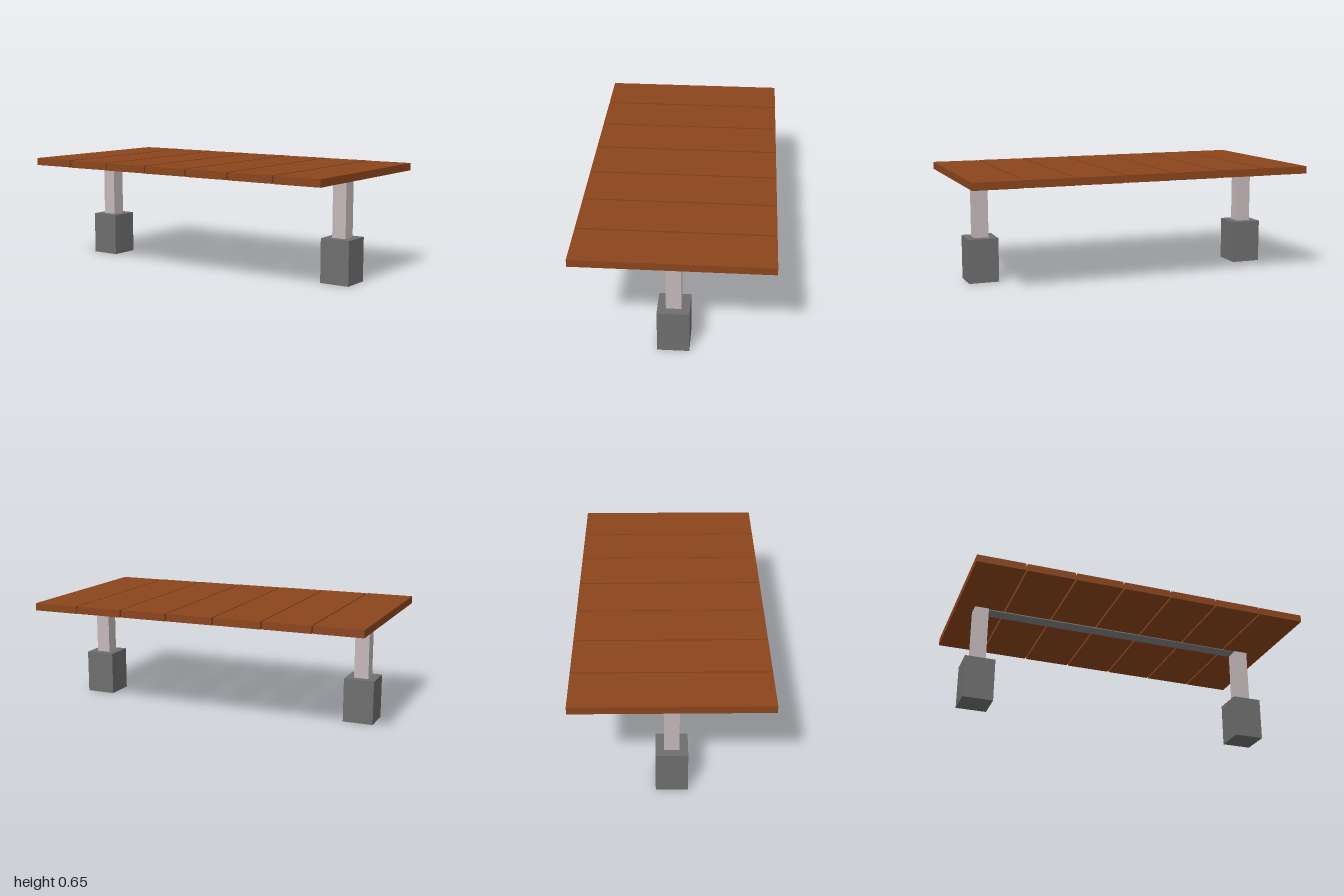
import * as THREE from 'three';

const material = (color) => new THREE.MeshStandardMaterial({ color });

export function createModel() {
  const model = new THREE.Group();
  model.name = 'plankTable';

  const wood = material(0x8b451c);
  const postPaint = material(0xc4b8ba);
  const concrete = material(0x6e6e6e);
  const steel = material(0x808080);

  const addBox = (name, size, position, mat) => {
    const mesh = new THREE.Mesh(new THREE.BoxGeometry(...size), mat);
    mesh.name = name;
    mesh.position.set(...position);
    model.add(mesh);
    return mesh;
  };

  // Seven planks laid side by side with narrow gaps, dropping slightly to the left end
  const count = 7, width = 0.278, pitch = (2 - width) / (count - 1);
  for (let i = 0; i < count; i++) {
    const x = -1 + width / 2 + i * pitch;
    addBox('plank' + (i + 1), [width, 0.043, 1.08], [x, 0.627 - i * 0.001, 0], wood);
  }

  // Thin rail under the planks, joining the posts
  addBox('rail', [1.61, 0.006, 0.08], [-0.005, 0.6, -0.003], steel);

  // A post in a footing block at each end
  for (const [side, x, top] of [['right', -0.855, 0.606], ['left', 0.842, 0.6]]) {
    addBox(side + 'Footing', [0.177, 0.256, 0.177], [x, 0.128, 0], concrete);
    addBox(side + 'Post', [0.084, top - 0.2, 0.084], [x, (top + 0.2) / 2, 0], postPaint);
  }

  return model;
}
